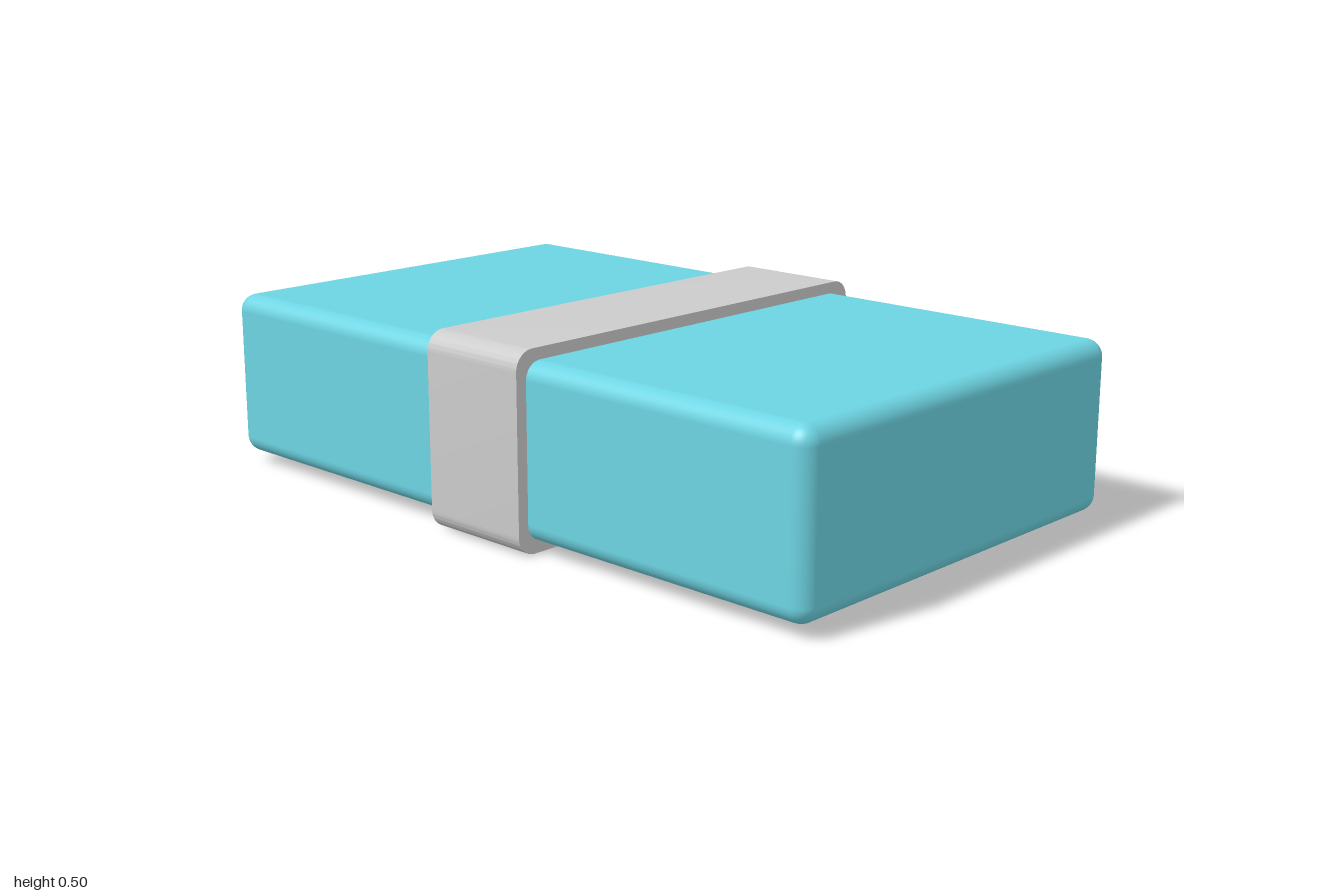
import * as THREE from 'three';
import { RoundedBoxGeometry } from 'three/addons/geometries/RoundedBoxGeometry.js';
import { toCreasedNormals } from 'three/addons/utils/BufferGeometryUtils.js';

// Rounded rectangle centred on the origin, as a Shape or a hole Path
function roundedRect(path, w, h, r) {
  const x = w / 2 - r, y = h / 2 - r;
  path.absarc(x, y, r, 0, Math.PI / 2);
  path.absarc(-x, y, r, Math.PI / 2, Math.PI);
  path.absarc(-x, -y, r, Math.PI, Math.PI * 1.5);
  path.absarc(x, -y, r, Math.PI * 1.5, Math.PI * 2);
  path.closePath();
  return path;
}

export function createModel() {
  const group = new THREE.Group();
  group.name = 'bandedBox';

  // Soft-edged main block
  const body = new THREE.Mesh(
    new RoundedBoxGeometry(2, 0.44, 1.16, 6, 0.045),
    new THREE.MeshStandardMaterial({ color: 0x6dd4e2 })
  );
  body.name = 'body';
  body.position.y = 0.25;
  group.add(body);

  // Band wrapped around the middle, its inside sunk slightly into the block
  const width = 0.316;
  const outline = roundedRect(new THREE.Shape(), 1.22, 0.5, 0.05);
  outline.holes.push(roundedRect(new THREE.Path(), 1.156, 0.436, 0.043));
  const bandGeometry = new THREE.ExtrudeGeometry(outline, {
    depth: width, bevelEnabled: false, curveSegments: 10
  });
  bandGeometry.translate(0, 0, -width / 2).rotateY(Math.PI / 2);
  const band = new THREE.Mesh(
    toCreasedNormals(bandGeometry, 0.6),
    new THREE.MeshStandardMaterial({ color: 0xcccccc })
  );
  band.name = 'band';
  band.position.set(0.003, 0.25, 0);
  group.add(band);

  return group;
}
